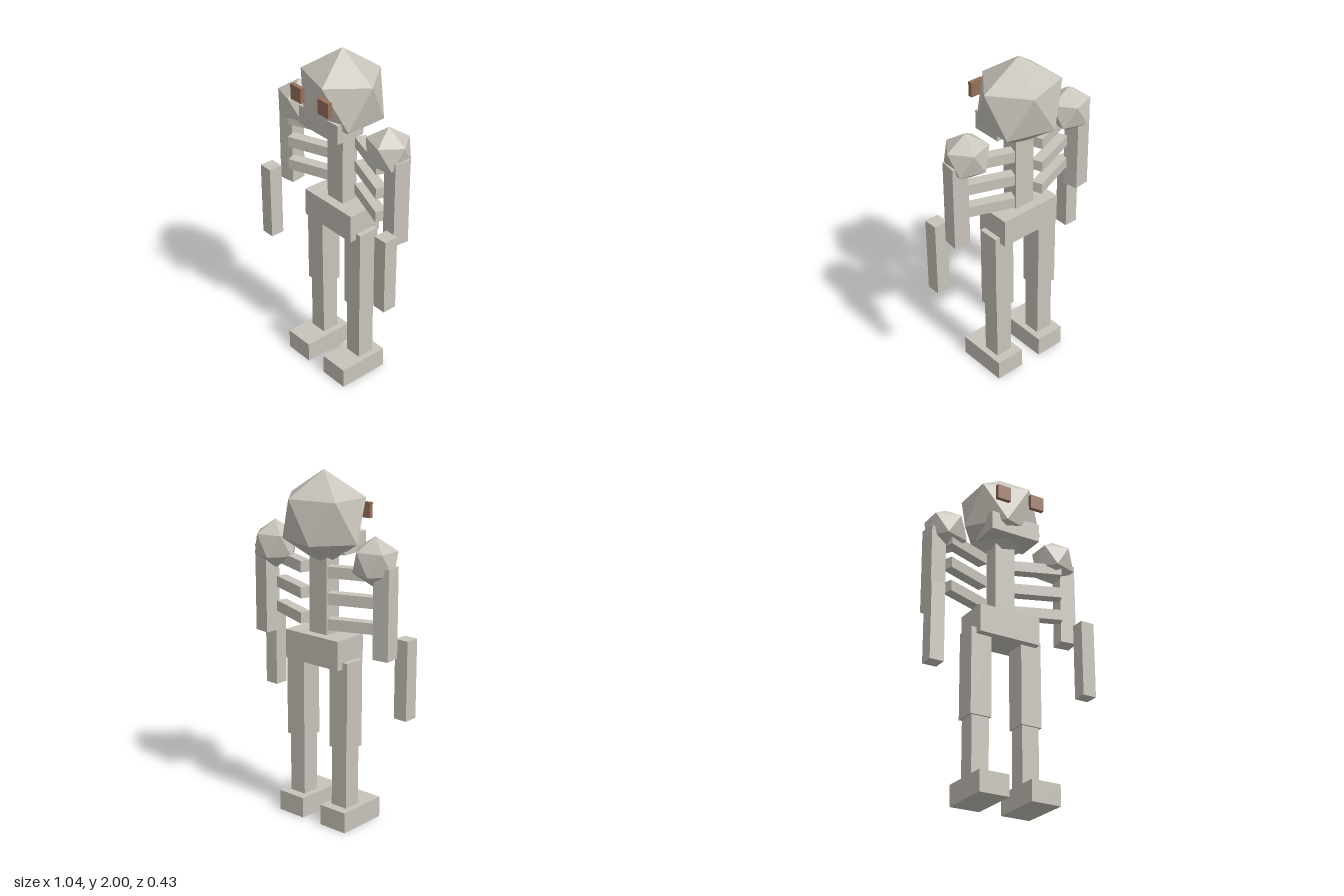
import * as THREE from 'three';

// Twenty-sided ball standing on a point: two poles and two staggered rings of five.
function pointedIcosahedron(rx, ry, rz) {
  const ring = 2 / Math.sqrt(5), h = 1 / Math.sqrt(5);
  const at = (i, offset, y) => {
    const a = (i * 2 * Math.PI) / 5 + offset;
    return [ring * Math.cos(a) * rx, y * ry, -ring * Math.sin(a) * rz];
  };
  const top = [0, ry, 0], bottom = [0, -ry, 0], pts = [];
  for (let i = 0; i < 5; i++) {
    const u0 = at(i, 0, h), u1 = at(i + 1, 0, h);
    const l0 = at(i, Math.PI / 5, -h), l1 = at(i + 1, Math.PI / 5, -h);
    pts.push(...top, ...u0, ...u1);
    pts.push(...u0, ...l0, ...u1);
    pts.push(...u1, ...l0, ...l1);
    pts.push(...bottom, ...l1, ...l0);
  }
  const g = new THREE.BufferGeometry();
  g.setAttribute('position', new THREE.Float32BufferAttribute(pts, 3));
  g.computeVertexNormals();
  return g;
}

export function createModel() {
  const model = new THREE.Group();
  model.name = 'skeletonGolem';

  const bone = new THREE.MeshStandardMaterial({ color: 0xc8c4bb });
  bone.name = 'bone';
  bone.flatShading = true;
  const rust = new THREE.MeshStandardMaterial({ color: 0x98705a });
  rust.name = 'rust brown';

  const add = (name, geometry, position, yaw = 0, material = bone) => {
    const mesh = new THREE.Mesh(geometry, material);
    mesh.name = name;
    mesh.position.set(...position);
    mesh.rotation.y = yaw;
    model.add(mesh);
    return mesh;
  };
  const box = (name, size, position, yaw, material) =>
    add(name, new THREE.BoxGeometry(...size), position, yaw, material);

  const Z = -0.013; // depth of the body's axis

  // Head, jaw and trunk
  add('head', pointedIcosahedron(0.262, 0.262, 0.236), [0, 1.738, Z - 0.002]);
  box('jaw', [0.31, 0.11, 0.178], [0, 1.61, 0.065]);
  box('spine', [0.125, 0.52, 0.1], [0, 1.35, Z]);
  box('pelvis', [0.38, 0.165, 0.21], [0, 1.021, Z]);

  // Paired parts
  for (const [side, s] of [['left', 1], ['right', -1]]) {
    box(side + 'Eye', [0.084, 0.086, 0.025], [s * 0.109, 1.767, 0.199], 0, rust);

    add(side + 'Shoulder', pointedIcosahedron(0.137, 0.138, 0.13), [s * 0.359, 1.549, Z - 0.002]);
    box(side + 'UpperArm', [0.095, 0.5, 0.095], [s * 0.43, 1.283, Z], -s * 0.12);
    box(side + 'Forearm', [0.083, 0.45, 0.083], [s * 0.48, 0.905, 0.104]);

    // Ribs sweep forward towards their outer ends
    [1.467, 1.321, 1.178].forEach((y, i) =>
      box(side + 'Rib' + (i + 1), [0.306, 0.063, 0.063], [s * 0.229, y, Z], -s * 0.36));

    box(side + 'Thigh', [0.127, 0.505, 0.127], [s * 0.158, 0.723, Z]);
    box(side + 'Shin', [0.105, 0.37, 0.105], [s * 0.156, 0.295, Z]);
    box(side + 'Foot', [0.178, 0.12, 0.308], [s * 0.156, 0.06, 0.034]);
  }

  return model;
}
